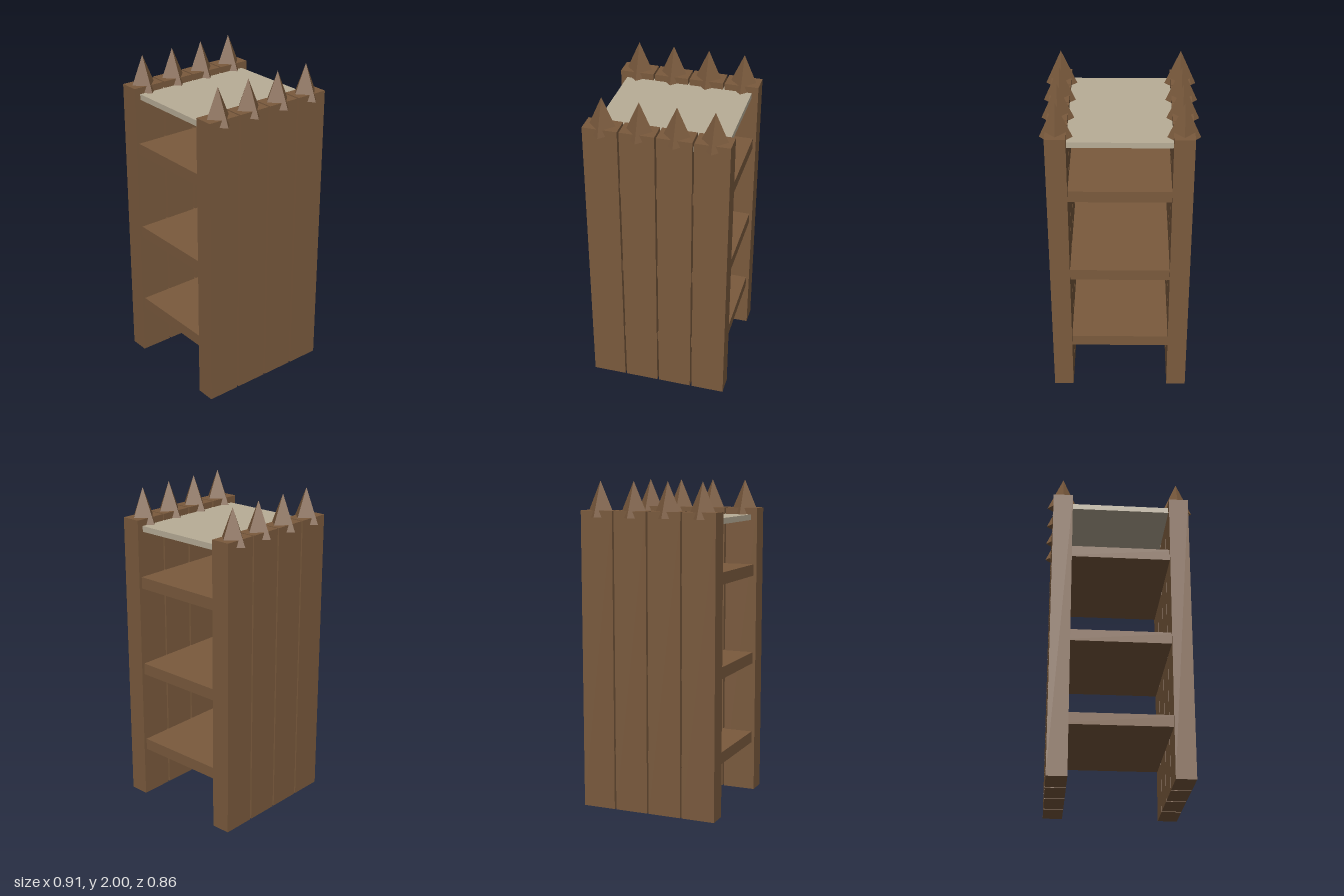
import * as THREE from 'three';

export function createModel() {
  const group = new THREE.Group();
  const wood = new THREE.MeshStandardMaterial({ color: 0x7a5a3d, flatShading: true });
  const pale = new THREE.MeshStandardMaterial({ color: 0xb8ad97, flatShading: true });

  const add = (name, geometry, material, x, y, z) => {
    const mesh = new THREE.Mesh(geometry, material);
    mesh.name = name;
    mesh.position.set(x, y, z);
    group.add(mesh);
  };

  // Side walls: four upright planks each, topped by four-sided spikes
  const plank = new THREE.BoxGeometry(0.12, 1.825, 0.207);
  const spike = new THREE.ConeGeometry(0.095, 0.215, 4);
  for (const [side, x] of [['left', 0.36], ['right', -0.36]]) {
    for (let i = 0; i < 4; i++) {
      const z = (i - 1.5) * 0.218 - 0.0015;
      add(`${side}Plank${i + 1}`, plank, wood, x, 0.9125, z);
      add(`${side}Spike${i + 1}`, spike, wood, x, 1.8925, z);
    }
  }

  // Three shelves let into the planks
  const shelf = new THREE.BoxGeometry(0.8, 0.072, 0.823);
  [0.35, 0.872, 1.436].forEach((y, i) => add(`shelf${i + 1}`, shelf, wood, 0, y, -0.0015));

  // Thin pale top panel
  add('topPanel', new THREE.BoxGeometry(0.776, 0.035, 0.783), pale, 0, 1.7675, -0.0015);

  return group;
}
